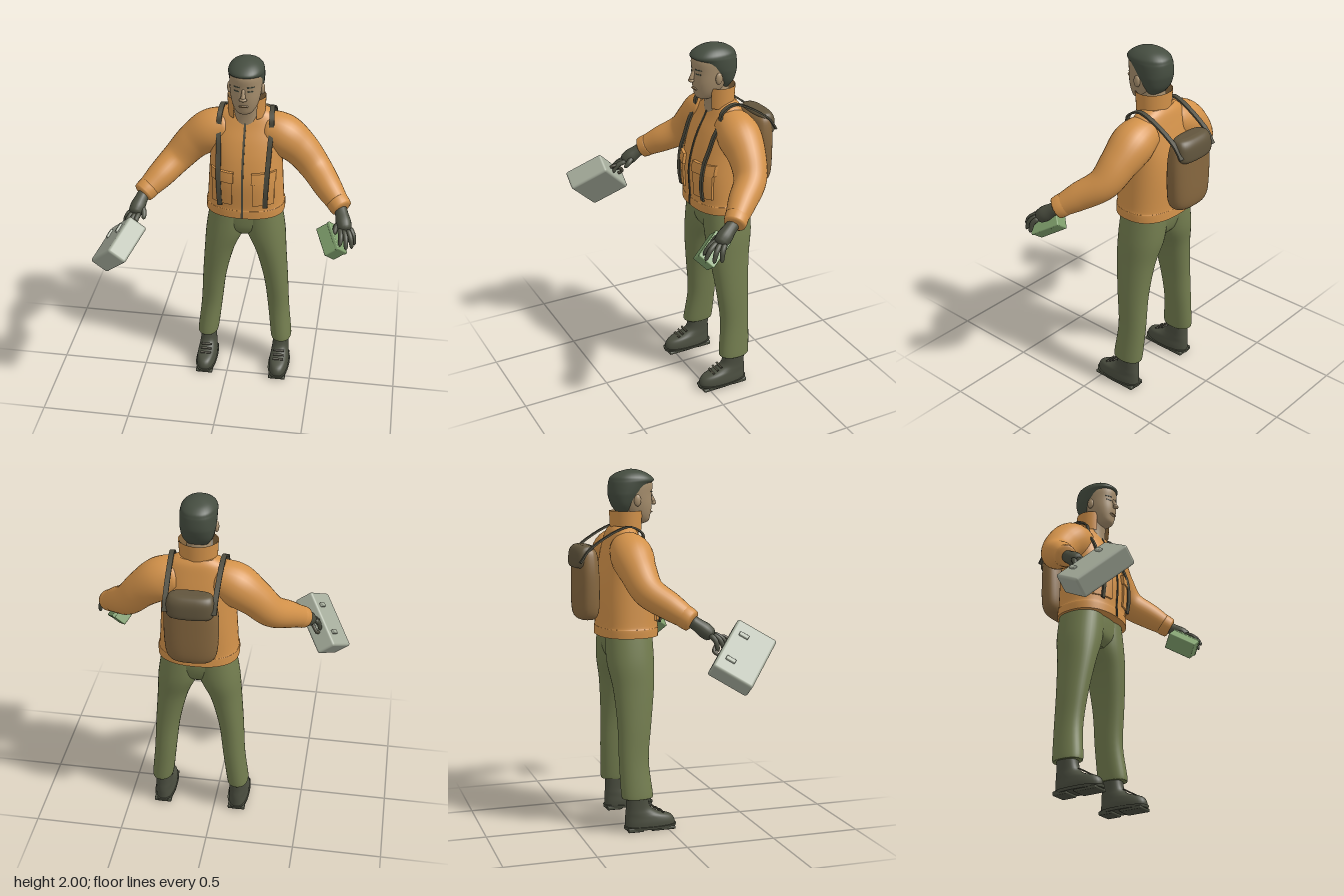
import * as THREE from 'three';
import { mergeVertices } from 'three/addons/utils/BufferGeometryUtils.js';
import { RoundedBoxGeometry } from 'three/addons/geometries/RoundedBoxGeometry.js';

const V = (x, y, z) => new THREE.Vector3(x, y, z);
const mat = (name, color, extra = {}) => {
  const m = new THREE.MeshStandardMaterial({ color, ...extra });
  m.name = name;
  return m;
};

// Smooth interpolation of key rows [y, zFront, zBack, halfWidth, centreX]
function rowAt(keys, t) {
  const n = keys.length - 1, i = Math.min(Math.floor(t), n - 1), f = t - i;
  const k = d => keys[Math.max(0, Math.min(n, i + d))];
  return keys[0].map((_, c) => {
    const a = k(-1)[c], b = k(0)[c], d = k(1)[c], e = k(2)[c];
    return b + 0.5 * f * (d - a + f * (2 * a - 5 * b + 4 * d - e + f * (3 * (b - d) + e - a)));
  });
}

// Stack of superellipse rings with flat end caps
function loft(keys, e = 2.2, n = 36, sub = 5) {
  const pos = [], idx = [], rows = (keys.length - 1) * sub;
  const pw = v => Math.sign(v) * Math.abs(v) ** (2 / e);
  const ring = r => {
    const [y, zf, zb, w, cx] = rowAt(keys, r / sub);
    for (let j = 0; j < n; j++) {
      const a = j / n * Math.PI * 2;
      pos.push(cx + w * pw(Math.sin(a)), y, (zf + zb) / 2 + (zf - zb) / 2 * pw(Math.cos(a)));
    }
    return [cx, y, (zf + zb) / 2];
  };
  for (let r = 0; r <= rows; r++) ring(r);
  for (let r = 0; r < rows; r++) for (let j = 0; j < n; j++) {
    const a = r * n + j, b = r * n + (j + 1) % n;
    idx.push(a, b, b + n, a, b + n, a + n);
  }
  for (const r of [0, rows]) {
    const s = pos.length / 3;
    pos.push(...ring(r));
    for (let j = 0; j < n; j++) {
      const a = s + j, b = s + (j + 1) % n;
      idx.push(s + n, r ? a : b, r ? b : a);
    }
  }
  const g = new THREE.BufferGeometry();
  g.setAttribute('position', new THREE.Float32BufferAttribute(pos, 3));
  g.setIndex(idx);
  g.computeVertexNormals();
  return g;
}

// Depth of a loft's front surface at x, y
function frontZ(keys, e, x, y) {
  let lo = 0, hi = keys.length - 1;
  for (let i = 0; i < 30; i++) {
    const m = (lo + hi) / 2;
    if (rowAt(keys, m)[0] < y) lo = m; else hi = m;
  }
  const [, zf, zb, w, cx] = rowAt(keys, lo);
  const q = Math.min(0.97, Math.abs((x - cx) / w));
  return (zf + zb) / 2 + (zf - zb) / 2 * (1 - q ** e) ** (1 / e);
}

// Plate bent onto the front of a loft
function patch(keys, e, x, y, w, h, d, ny = 6) {
  const g = new THREE.BoxGeometry(w, h, d, 6, ny, 1).translate(x, y, 0), p = g.attributes.position;
  for (let i = 0; i < p.count; i++) p.setZ(i, p.getZ(i) + frontZ(keys, e, p.getX(i), p.getY(i)));
  g.computeVertexNormals();
  return g;
}

// Closed tube with changing radius
function limb(points, radii, n = 30, m = 20) {
  const curve = new THREE.CatmullRomCurve3(points);
  const g = new THREE.TubeGeometry(curve, n, 1, m), p = g.attributes.position, v = V();
  const keys = radii.map(r => [r]);
  for (let i = 0; i <= n; i++) {
    const c = curve.getPointAt(i / n), k = Math.min(i, n - i);
    const r = rowAt(keys, i / n * (radii.length - 1))[0] * (k === 0 ? 0 : k === 1 ? 0.82 : 1);
    for (let j = 0; j <= m; j++) {
      const q = i * (m + 1) + j;
      v.fromBufferAttribute(p, q).sub(c).multiplyScalar(r).add(c);
      p.setXYZ(q, v.x, v.y, v.z);
    }
  }
  g.deleteAttribute('uv');
  g.deleteAttribute('normal');
  const out = mergeVertices(g, 1e-5);
  out.computeVertexNormals();
  return out;
}

// Flat strap following a path
function belt(points, w, th) {
  const curve = new THREE.CatmullRomCurve3(points), side = V(1, 0, 0);
  const g = new THREE.BoxGeometry(w, th, 1, 1, 1, 50), p = g.attributes.position;
  for (let i = 0; i < p.count; i++) {
    const t = 0.5 - p.getZ(i), c = curve.getPoint(t);
    const nrm = side.clone().cross(curve.getTangent(t)).normalize();
    c.addScaledVector(side, p.getX(i)).addScaledVector(nrm, p.getY(i));
    p.setXYZ(i, c.x, c.y, c.z);
  }
  g.computeVertexNormals();
  return g;
}

export function createModel() {
  const M = {
    jacket: mat('jacket orange', 0xd3924a, { side: THREE.DoubleSide }), trousers: mat('trouser olive', 0x737d4f),
    skin: mat('skin', 0xa58d6c), hair: mat('dark hair', 0x454d40), leather: mat('boot and glove green', 0x4b4e40),
    strap: mat('strap grey', 0x4d4b3d), pack: mat('pack brown', 0x86673f, { side: THREE.DoubleSide }),
    lid: mat('lid brown', 0x61553d), box: mat('case grey', 0xa8af9e), tin: mat('small box green', 0x7f9f6c),
  };
  const root = new THREE.Group();
  root.name = 'figure';
  const body = new THREE.Group();
  body.name = 'body';
  body.position.x = 0.085;
  root.add(body);
  const add = (name, g, m, parent = body) => {
    const o = new THREE.Mesh(g, m);
    o.name = name;
    parent.add(o);
    return o;
  };
  const ball = (x, y, z, a, b, c) => new THREE.SphereGeometry(1, 20, 14).scale(a, b, c).translate(x, y, z);

  // Jacket
  const T = [[1.085, 0, -.34, .222, 0], [1.13, 0, -.338, .222, 0], [1.15, -.003, -.335, .215, 0], [1.3, .005, -.335, .206, 0],
    [1.42, -.015, -.325, .2, 0], [1.52, -.05, -.305, .2, 0], [1.6, -.09, -.285, .187, 0], [1.66, -.118, -.268, .15, 0], [1.69, -.14, -.25, .1, 0]];
  add('jacket', loft(T, 2.4, 48), M.jacket);
  add('zip', patch(T, 2.4, 0, 1.37, .012, .56, .009, 40), M.strap);
  const collar = (r, h) => new THREE.CylinderGeometry(r + .006, r, h, 40, 1, true, .68, Math.PI * 2 - 1.36).scale(1, 1, .88).translate(0, 1.715, -.165);
  add('collar', collar(.1, .115), M.jacket);
  add('collarLining', collar(.096, .114), M.pack);

  // Head
  const H = [[1.7, -.07, -.12, .02, 0], [1.715, -.038, -.15, .045, 0], [1.75, -.028, -.18, .067, 0], [1.8, -.02, -.215, .081, 0], [1.86, -.02, -.24, .088, 0],
    [1.92, -.016, -.245, .088, 0], [1.96, -.04, -.225, .075, 0], [1.985, -.08, -.19, .045, 0], [1.99, -.13, -.14, .005, 0]];
  add('neck', loft([[1.6, -.1, -.24, .08, 0], [1.68, -.095, -.235, .068, 0], [1.79, -.07, -.22, .062, 0]]), M.skin);
  add('head', loft(H, 2.2), M.skin);
  add('hair', loft([[1.755, -.15, -.21, .05, 0], [1.8, -.13, -.245, .08, 0], [1.85, -.09, -.263, .093, 0], [1.88, -.06, -.267, .096, 0],
    [1.92, -.03, -.264, .097, 0], [1.938, -.008, -.26, .096, 0], [1.958, -.02, -.25, .089, 0], [1.98, -.053, -.217, .066, 0],
    [1.995, -.095, -.17, .033, 0], [2, -.13, -.14, .004, 0]]), M.hair);
  add('noseBridge', limb([V(0, 1.868, -.024), V(0, 1.84, -.014), V(0, 1.812, -.004)], [.008, .011, .014], 12, 12), M.skin);
  add('noseTip', ball(0, 1.813, -.006, .021, .011, .015), M.skin);
  add('lips', ball(0, 1.765, -.028, .026, .009, .009), M.skin);
  add('mouth', patch(H, 2.2, 0, 1.765, .042, .004, .02, 1), M.pack);

  for (const s of [-1, 1]) {
    const P = (x, y, z) => V(x * s, y, z);
    // Face details
    add('ear', ball(.09 * s, 1.83, -.125, .012, .032, .02), M.skin);
    add('eye', patch(H, 2.2, .037 * s, 1.852, .028, .006, .004, 1), M.hair);
    add('eyebrow', patch(H, 2.2, .038 * s, 1.876, .036, .006, .004, 1), M.hair);

    // Sleeve and cuff
    add('sleeve', limb([P(.07, 1.57, -.19), P(.17, 1.547, -.19), P(.29, 1.465, -.185), P(.385, 1.365, -.155), P(.47, 1.29, -.06), P(.55, 1.222, .03)],
      [.095, .117, .1, .086, .075, .056], 40, 28), M.jacket);
    add('cuff', limb([P(.51, 1.255, -.012), P(.535, 1.235, .012), P(.558, 1.216, .038)], [.062, .062, .057], 12, 24), M.jacket);

    // Pockets
    add('pocket', patch(T, 2.4, .115 * s, 1.25, .115, .15, .022), M.jacket);
    add('pocketFlap', patch(T, 2.4, .115 * s, 1.345, .13, .06, .036), M.jacket);

    // Gloved hand
    add('palm', limb([P(.54, 1.23, .02), P(.56, 1.19, .075), P(.574, 1.158, .115), P(.582, 1.14, .14)], [.034, .036, .042, .034], 16, 16), M.leather);
    [[.55, .56, 1.09, .215, .13], [.57, .594, 1.075, .222, .14], [.59, .624, 1.065, .188, .13], [.602, .636, 1.065, .148, .11]].forEach(([bx, tx, ty, tz, bz]) =>
      add('finger', limb([P(bx, 1.155, bz), P((bx + tx) / 2 + .006, (1.155 + ty) / 2 + .012, (bz + tz) / 2 + .008), P(tx, ty, tz)], [.015, .014, .01], 12, 10), M.leather));
    add('thumb', limb([P(.555, 1.18, .09), P(.53, 1.155, .12), P(.525, 1.125, .155)], [.018, .016, .011], 12, 10), M.leather);

    // Trouser leg
    add('trouserLeg', loft([[.19, -.087, -.255, .057, .223 * s], [.215, -.083, -.262, .061, .22 * s], [.4, -.1, -.268, .062, .2 * s], [.6, -.08, -.27, .069, .182 * s],
      [.8, -.055, -.285, .087, .15 * s], [.95, -.045, -.31, .113, .113 * s], [1.12, -.05, -.31, .108, .09 * s]]), M.trousers);

    // Boot
    const c = .22 * s;
    add('boot', loft([[.02, .045, -.24, .057, c], [.05, .045, -.24, .058, c], [.08, .02, -.24, .054, c], [.105, -.055, -.238, .05, c],
      [.14, -.1, -.235, .047, c], [.22, -.115, -.235, .05, c]], 2.3), M.leather);
    add('sole', loft([[.012, .052, -.246, .06, c], [.028, .055, -.248, .064, c]], 2.4, 36, 1), M.leather);
    add('heel', new RoundedBoxGeometry(.1, .024, .09, 2, .006).translate(c, .012, -.19), M.leather);
    add('toeTread', new RoundedBoxGeometry(.1, .018, .14, 2, .006).translate(c, .009, -.03), M.leather);
    for (let i = 0; i < 3; i++) {
      const lace = add('lace', new THREE.BoxGeometry(.062, .008, .012), M.strap);
      lace.position.set(c, .1 + i * .014, -.03 - i * .024);
      lace.rotation.x = .55;
    }

    // Backpack strap
    const run = [];
    for (let i = 0; i < 7; i++) {
      const y = 1.16 + i * .073, x = (.126 + i * .003) * s;
      run.push(V(x, y, frontZ(T, 2.4, x, y) + (y > 1.22 && y < 1.4 ? .02 : .012)));
    }
    run.push(P(.143, 1.655, -.115), P(.138, 1.69, -.18), P(.135, 1.675, -.245), P(.13, 1.57, -.41), P(.128, 1.5, -.46));
    add('strap', belt(run, .027, .01), M.strap);
  }

  // Hips
  add('hips', loft([[.925, -.1, -.24, .05, 0], [.97, -.06, -.285, .14, 0], [1.04, -.05, -.305, .19, 0], [1.12, -.05, -.305, .195, 0]]), M.trousers);

  // Backpack
  add('backpack', loft([[1.18, -.385, -.425, .07, 0], [1.19, -.352, -.455, .112, 0], [1.25, -.335, -.47, .138, 0], [1.42, -.335, -.47, .145, 0],
    [1.53, -.343, -.466, .132, 0], [1.57, -.362, -.448, .112, 0], [1.58, -.39, -.42, .08, 0]], 2.5), M.pack);
  add('backpackLid', loft([[1.47, -.385, -.478, .112, 0], [1.49, -.38, -.484, .124, 0], [1.55, -.37, -.48, .124, 0], [1.582, -.365, -.462, .112, 0], [1.592, -.39, -.435, .085, 0]], 2.8), M.lid);

  // Carried boxes share mirrored tilted axes
  const held = (name, s, x, y, z) => {
    const g = new THREE.Group(), r = V(.475 * s, .633, .61).normalize(), q = V(-.8 * s, .6, 0);
    q.addScaledVector(r, -q.dot(r)).normalize();
    g.name = name;
    g.quaternion.setFromRotationMatrix(new THREE.Matrix4().makeBasis(r, q, r.clone().cross(q)));
    g.position.set(x, y, z);
    body.add(g);
    return g;
  };
  const suitcase = held('case', 1, -.642, 1.03, .28);
  add('caseShell', new RoundedBoxGeometry(.335, .114, .235, 3, .014), M.box, suitcase);
  for (const x of [-.085, .085]) {
    add('latch', new RoundedBoxGeometry(.024, .018, .055, 2, .005).translate(x, .06, -.05), M.box, suitcase);
  }
  add('caseHandle', limb([V(-.06, 0, -.11), V(-.055, 0, -.145), V(0, 0, -.152), V(.055, 0, -.145), V(.06, 0, -.11)], [.01, .01, .01], 24, 10), M.strap, suitcase);
  const tin = held('smallBox', -1, .51, 1.075, .137);
  add('smallBoxShell', new RoundedBoxGeometry(.1, .09, .17, 3, .007), M.tin, tin);
  add('smallBoxLid', new RoundedBoxGeometry(.104, .02, .174, 2, .006).translate(0, .036, 0), M.tin, tin);
  return root;
}
